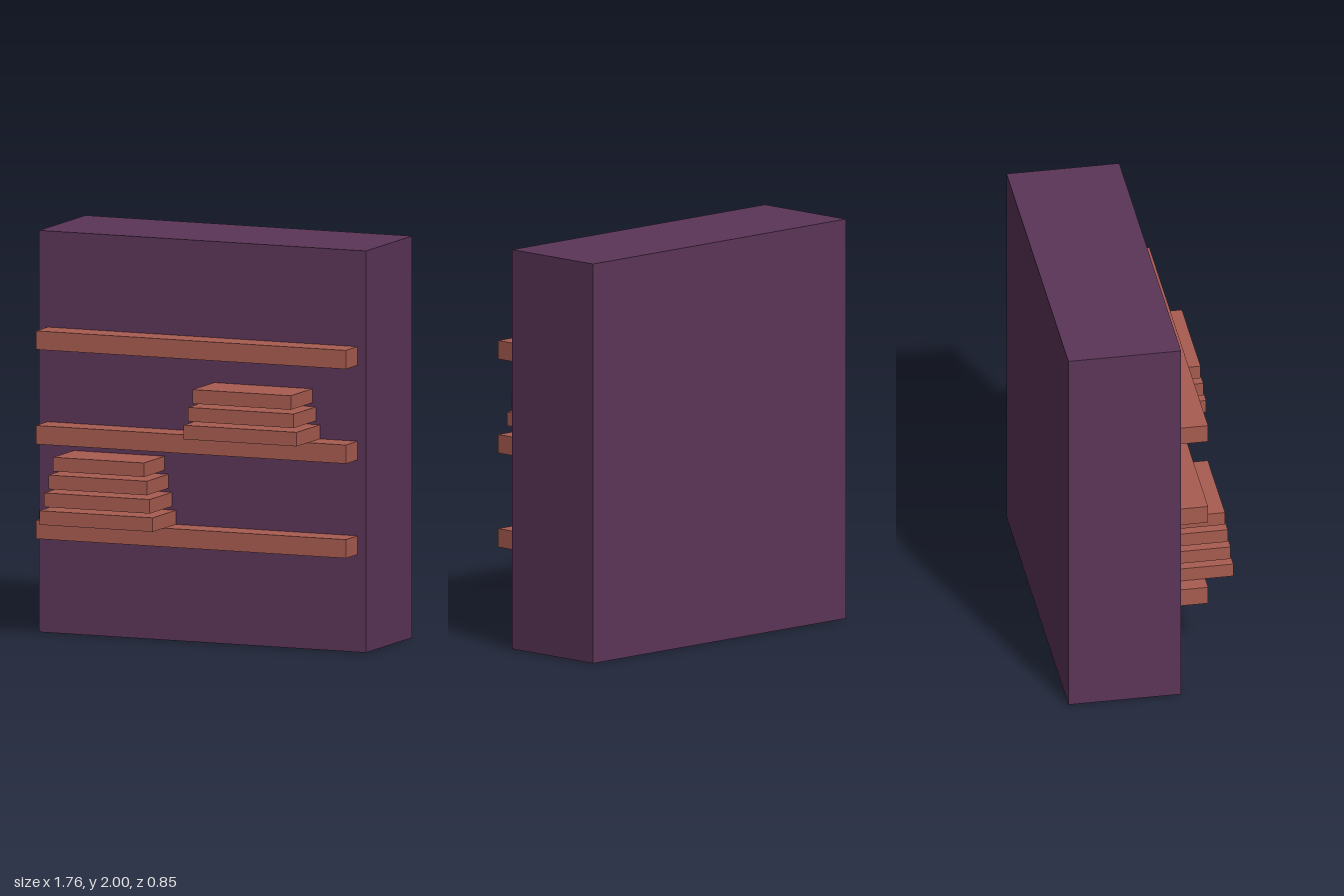
import * as THREE from 'three';

const WALL_Z = 0.14; // front face of the cabinet

export function createModel() {
  const group = new THREE.Group();
  const purple = new THREE.MeshStandardMaterial({ color: 0x5c3558 });
  const clay = new THREE.MeshStandardMaterial({ color: 0xa85c50 });

  // Box given by its centre x, bottom y and z extent
  function addBox(name, material, x, y, width, height, zBack, zFront) {
    const mesh = new THREE.Mesh(new THREE.BoxGeometry(width, height, zFront - zBack), material);
    mesh.position.set(x, y + height / 2, (zBack + zFront) / 2);
    mesh.name = name;
    group.add(mesh);
  }

  // Solid cabinet block
  addBox('cabinet', purple, 0, 0, 1.76, 2, -0.424, WALL_Z);

  // Three shelves, set slightly into the cabinet front
  const shelfHeight = 0.093;
  const shelfBottoms = [0.486, 0.957, 1.428];
  shelfBottoms.forEach((y, i) => {
    addBox(`shelf${i + 1}`, clay, 0, y, 1.67, shelfHeight, WALL_Z - 0.02, 0.283);
  });

  // Stacks of slabs that shrink towards the top, with narrow gaps between
  function addStack(name, x, y, count) {
    for (let i = 0; i < count; i++) {
      addBox(`${name}${i + 1}`, clay, x, y + i * 0.0885, 0.61 - i * 0.0405, 0.07,
        WALL_Z - 0.02, 0.424 - i * 0.0105);
    }
  }
  addStack('lowerStackSlab', -0.449, shelfBottoms[0] + shelfHeight, 4);
  addStack('upperStackSlab', 0.327, shelfBottoms[1] + shelfHeight, 3);

  return group;
}
